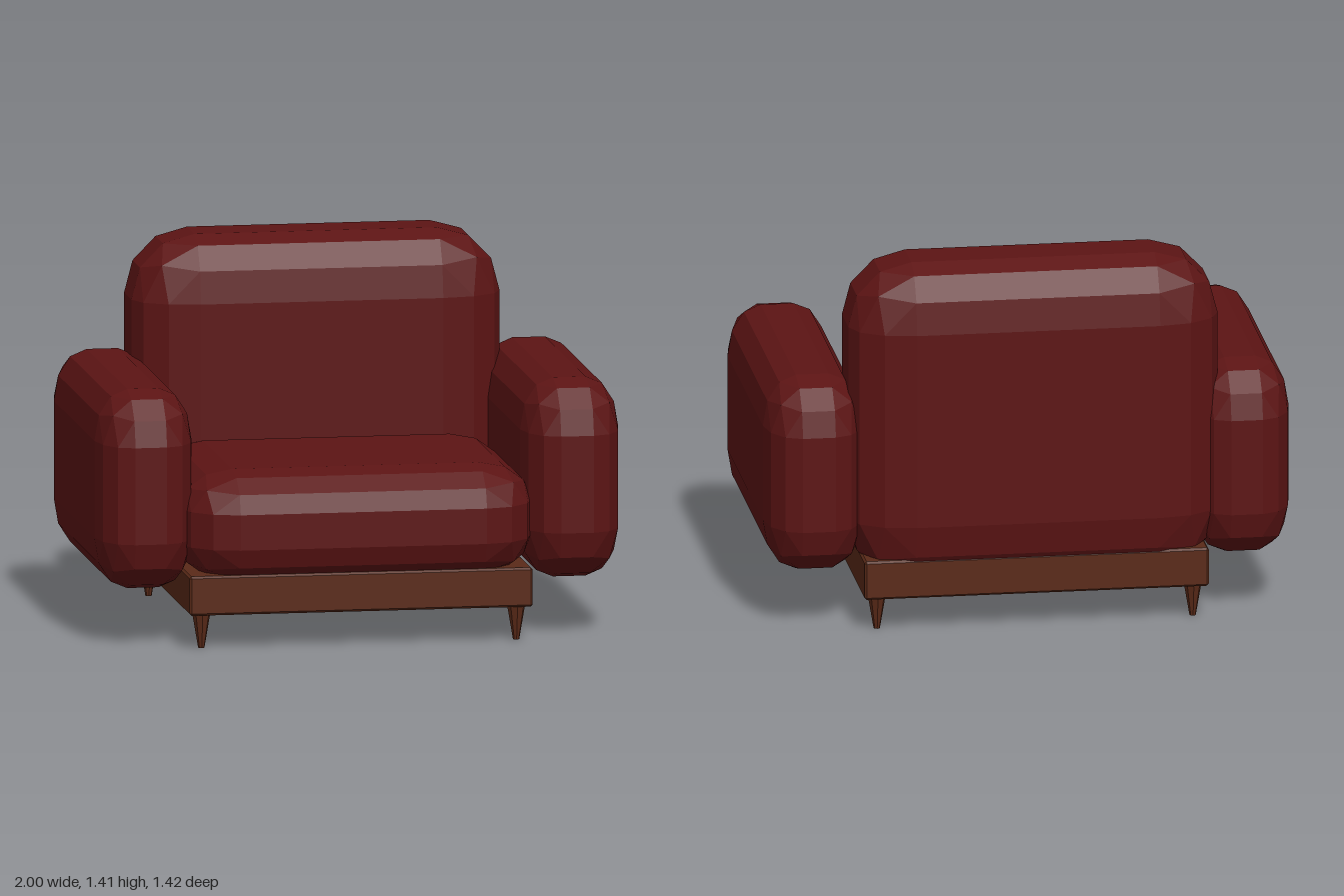
import * as THREE from 'three';
import { ConvexGeometry } from 'three/addons/geometries/ConvexGeometry.js';

const fabric = new THREE.MeshStandardMaterial({ color: 0x5c1414, flatShading: true });
const wood = new THREE.MeshStandardMaterial({ color: 0x5a2a18, flatShading: true });

// Box between min and max whose edges are rounded in facets,
// with a separate rounding radius along each axis.
function roundedBlock(name, min, max, radius, material, segments = 3) {
  const lo = new THREE.Vector3(...min), hi = new THREE.Vector3(...max);
  const r = new THREE.Vector3(...radius);
  const centre = lo.clone().add(hi).multiplyScalar(0.5);
  const core = hi.clone().sub(lo).multiplyScalar(0.5).sub(r);
  const step = (n) => Math.sin((n / segments) * Math.PI / 2);
  const points = [];
  for (let i = 0; i <= segments; i++) {
    for (let j = 0; j <= segments - i; j++) {
      const corner = new THREE.Vector3(step(i), step(j), step(segments - i - j))
        .normalize().multiply(r).add(core);
      for (const sx of [-1, 1]) for (const sy of [-1, 1]) for (const sz of [-1, 1]) {
        points.push(corner.clone().multiply(new THREE.Vector3(sx, sy, sz)));
      }
    }
  }
  const mesh = new THREE.Mesh(new ConvexGeometry(points), material);
  mesh.position.copy(centre);
  mesh.name = name;
  return mesh;
}

export function createModel() {
  const armchair = new THREE.Group();
  armchair.name = 'armchair';

  // Upholstery
  const armRadius = [0.125, 0.195, 0.195];
  armchair.add(
    roundedBlock('leftArm', [0.625, 0.21, -0.68], [1, 0.97, 0.64], armRadius, fabric),
    roundedBlock('rightArm', [-1, 0.21, -0.68], [-0.63, 0.97, 0.64], armRadius, fabric),
    roundedBlock('backCushion', [-0.72, 0.17, -0.71], [0.685, 1.415, -0.23], [0.24, 0.245, 0.155], fabric),
    roundedBlock('seatCushion', [-0.685, 0.24, -0.35], [0.655, 0.665, 0.71], [0.2, 0.145, 0.2], fabric),
  );

  // Wooden base
  armchair.add(
    roundedBlock('baseFrame', [-0.67, 0.13, -0.68], [0.64, 0.28, 0.65], [0.008, 0.008, 0.008], wood, 1),
  );

  // Tapered legs
  const legShape = new THREE.CylinderGeometry(0.036, 0.012, 0.14, 8);
  for (const [side, x] of [['Left', 0.585], ['Right', -0.617]]) {
    for (const [end, z] of [['front', 0.595], ['back', -0.612]]) {
      const leg = new THREE.Mesh(legShape, wood);
      leg.name = `${end}${side}Leg`;
      leg.position.set(x, 0.07, z);
      armchair.add(leg);
    }
  }
  return armchair;
}
